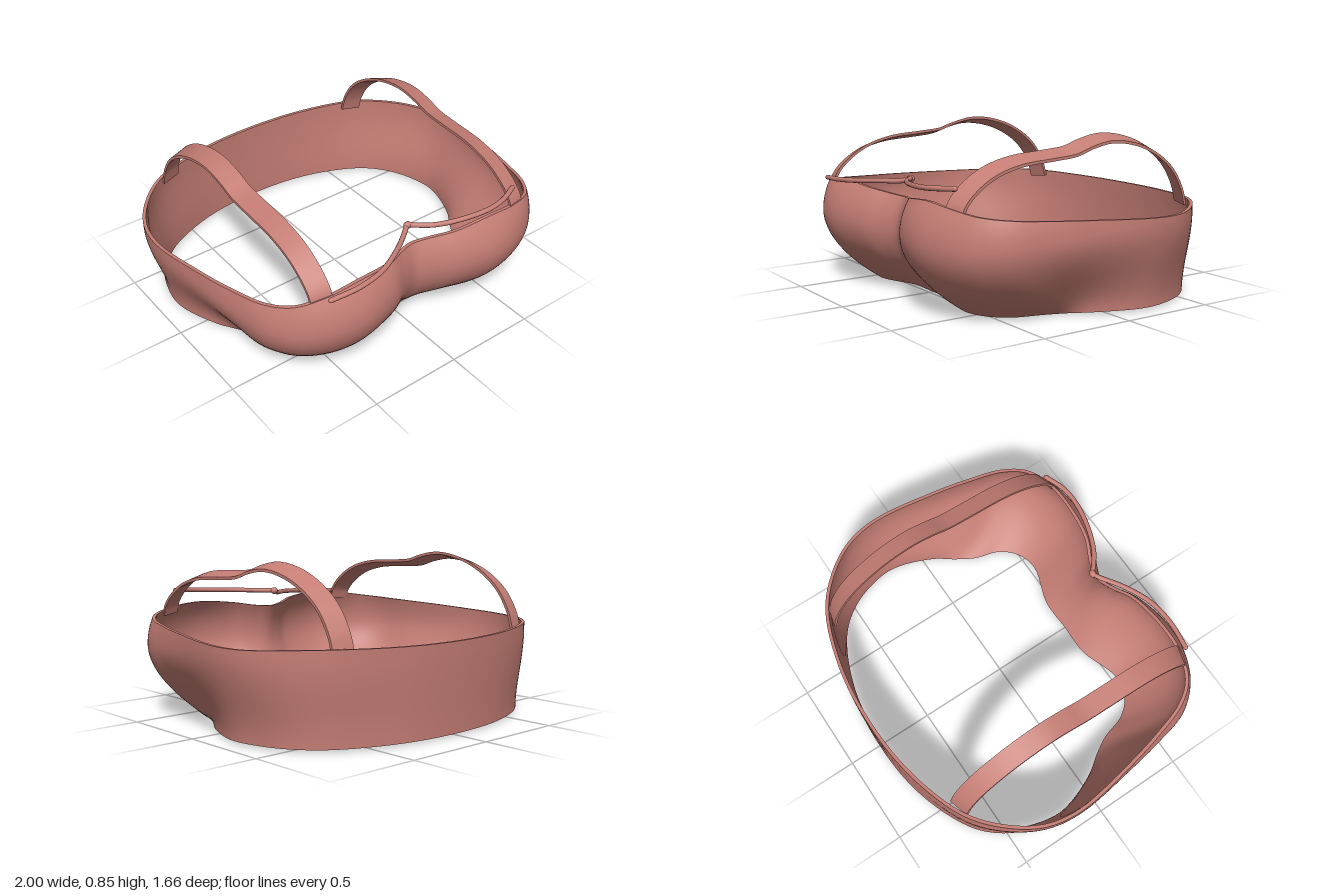
import * as THREE from 'three';
import { mergeGeometries, toCreasedNormals } from 'three/addons/utils/BufferGeometryUtils.js';

const material = new THREE.MeshStandardMaterial({ color: 0xc47d74, side: THREE.DoubleSide });
const V = (x, y, z) => new THREE.Vector3(x, y, z);
const { lerp, smoothstep } = THREE.MathUtils;

// Surface through rows of points; every row is a closed ring.
function ringSurface(rows) {
  const n = rows[0].length;
  const index = [];
  for (let v = 0; v < rows.length - 1; v++) {
    for (let u = 0; u < n; u++) {
      const a = v * n + u, b = v * n + (u + 1) % n;
      index.push(a, b, b + n, a, b + n, a + n);
    }
  }
  const geometry = new THREE.BufferGeometry().setFromPoints(rows.flat());
  geometry.setIndex(index);
  geometry.computeVertexNormals();
  return geometry;
}

// Closed outline from its left half, running front centre to back centre.
function outline(half) {
  const points = half.map((p) => V(...p));
  const mirrored = points.slice(1, -1).reverse().map((p) => V(-p.x, p.y, p.z));
  return new THREE.CatmullRomCurve3([...points, ...mirrored], true, 'centripetal');
}

// Lower edge, fullest line and upper edge of the band, matched point by point
const hem = outline([
  [0, 0, 0.48], [0.1, 0, 0.476], [0.19, 0, 0.48], [0.42, 0, 0.55], [0.55, 0, 0.515],
  [0.64, 0, 0.42], [0.685, 0, 0.28], [0.74, 0.005, 0.18], [0.82, 0.01, 0.06], [0.9, 0.01, -0.18],
  [0.875, 0.01, -0.36], [0.8, 0.01, -0.52], [0.67, 0.01, -0.65], [0.36, 0.01, -0.78], [0, 0.01, -0.82],
]);
const fullest = outline([
  [0, 0.35, 0.69], [0.09, 0.36, 0.72], [0.21, 0.37, 0.785], [0.42, 0.37, 0.83], [0.6, 0.37, 0.805],
  [0.75, 0.37, 0.73], [0.86, 0.38, 0.6], [0.915, 0.39, 0.4], [0.955, 0.41, 0.18], [0.998, 0.44, -0.17],
  [0.965, 0.44, -0.36], [0.86, 0.43, -0.53], [0.68, 0.42, -0.685], [0.36, 0.42, -0.795], [0, 0.42, -0.83],
]);
const rim = outline([
  [0, 0.52, 0.645], [0.09, 0.527, 0.67], [0.21, 0.547, 0.725], [0.42, 0.565, 0.752], [0.6, 0.553, 0.745],
  [0.75, 0.53, 0.69], [0.84, 0.515, 0.58], [0.9, 0.503, 0.4], [0.95, 0.492, 0.18], [0.998, 0.475, -0.17],
  [0.965, 0.472, -0.36], [0.86, 0.478, -0.53], [0.68, 0.48, -0.685], [0.36, 0.473, -0.795], [0, 0.47, -0.83],
]);

function bandGeometry() {
  const columns = 168, lower = 16, upper = 6, thickness = 0.018;
  const outer = [];
  for (let r = 0; r <= lower + upper; r++) {
    const row = [];
    for (let c = 0; c < columns; c++) {
      const u = c / columns;
      const low = hem.getPoint(u), mid = fullest.getPoint(u), top = rim.getPoint(u);
      if (r <= lower) {
        // Rounded below the cups, a gentle S along the sides
        const s = r / lower;
        const cup = smoothstep(mid.z, 0.15, 0.65);
        const w = lerp(s * s * (3 - 2 * s), 1 - (1 - s) ** 2, cup);
        row.push(V(lerp(low.x, mid.x, w), lerp(low.y, mid.y, s), lerp(low.z, mid.z, w)));
      } else {
        const s = (r - lower) / upper;
        row.push(V(lerp(mid.x, top.x, s * s), lerp(mid.y, top.y, s), lerp(mid.z, top.z, s * s)));
      }
    }
    outer.push(row);
  }
  const outside = ringSurface(outer);
  const normal = outside.attributes.normal;
  const inner = outer.map((row, r) => row.map((p, c) => {
    const n = V().fromBufferAttribute(normal, r * columns + c).setY(0).normalize();
    return p.clone().addScaledVector(n, -thickness);
  }));
  const last = outer.length - 1;
  return mergeGeometries([
    outside,
    ringSurface([...inner].reverse()),
    ringSurface([outer[last], inner[last]]),
    ringSurface([inner[0], outer[0]]),
  ]);
}

// Flat strap over the shoulder; its outer edge sits lower than its inner edge.
function strapGeometry(side) {
  const path = new THREE.CatmullRomCurve3([
    [0.52, 0.752], [0.58, 0.73], [0.65, 0.665], [0.72, 0.55], [0.762, 0.4], [0.778, 0.2], [0.79, 0.07],
    [0.818, -0.02], [0.84, -0.15], [0.822, -0.3], [0.765, -0.45], [0.67, -0.58], [0.55, -0.66], [0.455, -0.69],
  ].map(([y, z]) => V(0, y, z)));
  const steps = 70, rows = [];
  for (let i = 0; i <= steps; i++) {
    const p = path.getPoint(i / steps), t = path.getTangent(i / steps);
    const corner = (x, d) => V(side * x, p.y - t.z * d, p.z + t.y * d);
    const ring = [corner(0.575, 0.005), corner(0.68, -0.025), corner(0.68, -0.04), corner(0.575, -0.01)];
    rows.push(side > 0 ? ring : ring.reverse());
  }
  const cap = (ring) => {
    const centre = V(0, 0, 0);
    ring.forEach((p) => centre.addScaledVector(p, 0.25));
    return ring.map(() => centre.clone());
  };
  return toCreasedNormals(ringSurface([cap(rows[0]), ...rows, cap(rows[steps])]), 0.6);
}

export function createModel() {
  const group = new THREE.Group();
  const add = (name, geometry) => {
    const mesh = new THREE.Mesh(geometry, material);
    mesh.name = name;
    group.add(mesh);
    return mesh;
  };

  add('cupsAndBand', bandGeometry());
  add('leftStrap', strapGeometry(1));
  add('rightStrap', strapGeometry(-1));

  // Thin cord across the front, tied at the centre
  const cords = {
    rightCord: [[-0.605, 0.558, 0.775], [-0.45, 0.567, 0.79], [-0.3, 0.577, 0.77], [-0.15, 0.588, 0.7], [-0.04, 0.595, 0.625], [0, 0.612, 0.595]],
    leftCord: [[0, 0.61, 0.6], [0.1, 0.612, 0.68], [0.25, 0.62, 0.74], [0.4, 0.628, 0.765], [0.5, 0.635, 0.755], [0.605, 0.642, 0.715]],
  };
  for (const [name, points] of Object.entries(cords)) {
    const curve = new THREE.CatmullRomCurve3(points.map((p) => V(...p)));
    add(name, new THREE.TubeGeometry(curve, 48, 0.013, 10));
    const tip = points[name === 'leftCord' ? points.length - 1 : 0];
    add(name + 'Tip', new THREE.SphereGeometry(0.013, 10, 8)).position.set(...tip);
  }
  const knot = add('cordKnot', new THREE.SphereGeometry(0.019, 14, 10));
  knot.position.set(0, 0.608, 0.6);
  knot.scale.set(1.2, 1, 1);

  return group;
}
